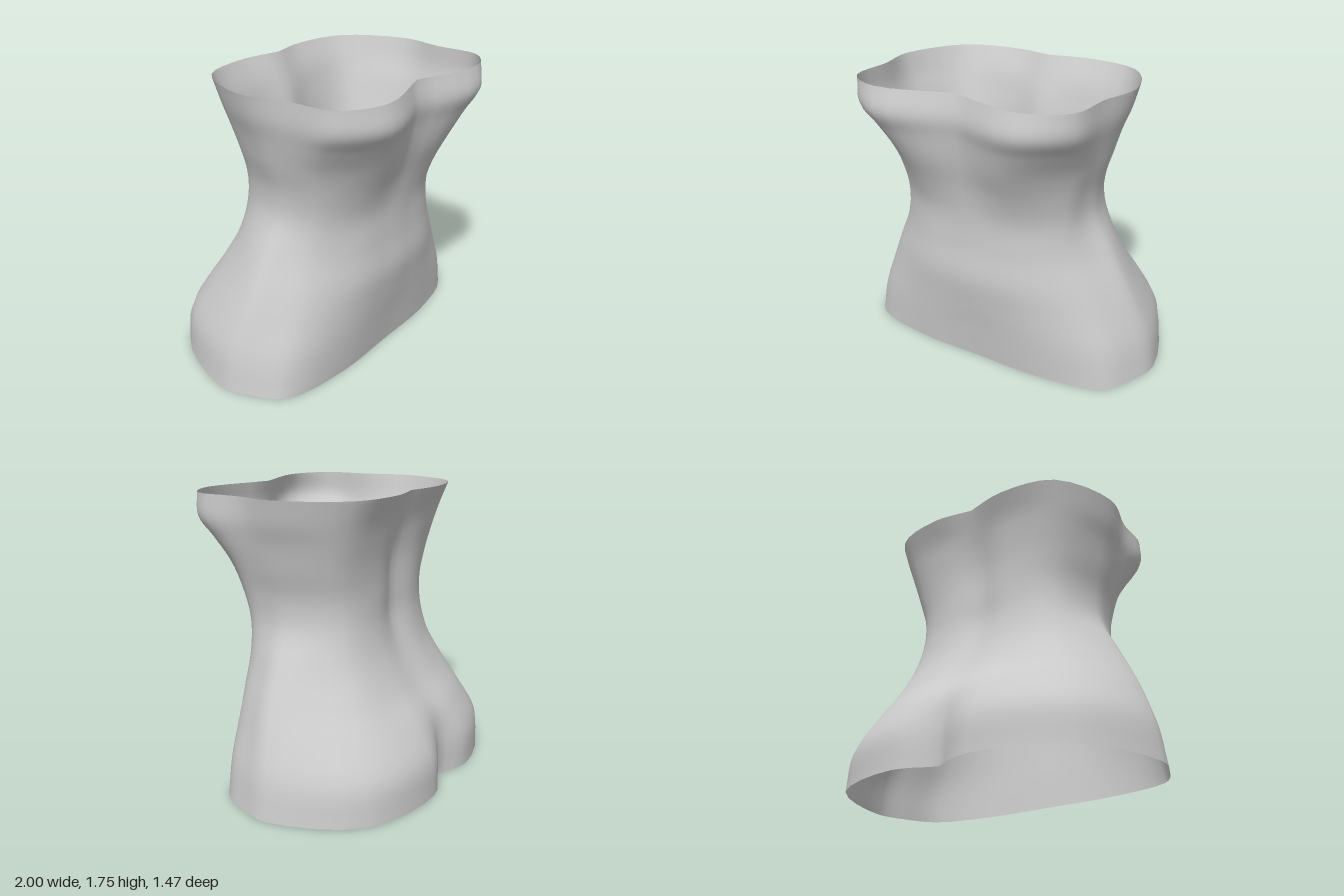
import * as THREE from 'three';

// Half cross-sections from bottom to top:
// y, back centre z, back lobe x z, back corner x z, side x z, front corner x z, front lobe x z, front centre z
const SECTIONS = [
  [0.005, -0.64, 0.25, -0.735, 0.77, -0.565, 1.0, -0.05, 0.84, 0.335, 0.45, 0.43, 0.435],
  [0.23, -0.64, 0.27, -0.72, 0.755, -0.545, 0.967, -0.04, 0.79, 0.34, 0.42, 0.455, 0.47],
  [0.42, -0.605, 0.27, -0.625, 0.69, -0.46, 0.9, 0, 0.71, 0.345, 0.38, 0.475, 0.505],
  [0.6, -0.482, 0.26, -0.487, 0.6, -0.38, 0.82, 0.03, 0.64, 0.345, 0.35, 0.49, 0.53],
  [0.8, -0.372, 0.24, -0.387, 0.53, -0.295, 0.72, 0.04, 0.57, 0.34, 0.33, 0.475, 0.515],
  [1.0, -0.302, 0.23, -0.34, 0.495, -0.25, 0.622, 0.05, 0.55, 0.34, 0.32, 0.475, 0.515],
  [1.17, -0.295, 0.23, -0.335, 0.5, -0.24, 0.617, 0.05, 0.57, 0.36, 0.33, 0.525, 0.535],
  [1.35, -0.3, 0.24, -0.345, 0.535, -0.265, 0.665, 0.03, 0.615, 0.4, 0.35, 0.61, 0.575],
  [1.5, -0.33, 0.25, -0.37, 0.565, -0.3, 0.705, 0.01, 0.665, 0.48, 0.41, 0.675, 0.6],
  [1.62, -0.37, 0.26, -0.4, 0.585, -0.335, 0.75, 0, 0.705, 0.555, 0.45, 0.733, 0.617],
  [1.76, -0.42, 0.27, -0.465, 0.605, -0.38, 0.787, 0, 0.7, 0.57, 0.46, 0.705, 0.59],
];
const HALF = 28; // steps from back centre to front centre
const ROWS = 50; // steps up the body

// Smooth half outline of one section, with a slight pinch below the arm
function halfOutline([y, bc, blx, blz, bx, bz, sx, sz, fx, fz, flx, flz, fc]) {
  const pinch = 0.04 * THREE.MathUtils.smoothstep(y, 1.4, 1.75);
  const points = [
    [0, bc], [blx, blz], [bx, bz], [sx, sz],
    [(sx + fx) / 2 + 0.045 * sx - 0.01 - pinch, (sz + fz) / 2],
    [fx, fz], [flx, flz], [0, fc],
  ].map(([x, z]) => new THREE.Vector3(x, y, z));
  return new THREE.CatmullRomCurve3(points);
}

function torsoGeometry() {
  const outlines = SECTIONS.map(halfOutline);
  // One rising curve per step around the half outline
  const columns = [];
  for (let i = 0; i <= HALF; i++) {
    const rise = new THREE.CatmullRomCurve3(outlines.map((o) => o.getPoint(i / HALF)));
    columns.push(rise.getPoints(ROWS));
  }
  // Full loop: left half from back to front, then its mirror image from front to back
  const loop = HALF * 2;
  const positions = [];
  const indices = [];
  for (let r = 0; r <= ROWS; r++) {
    for (let i = 0; i < loop; i++) {
      const p = columns[i <= HALF ? i : loop - i][r];
      positions.push(i <= HALF ? p.x : -p.x, p.y, p.z);
    }
  }
  for (let r = 0; r < ROWS; r++) {
    for (let i = 0; i < loop; i++) {
      const a = r * loop + i;
      const b = r * loop + ((i + 1) % loop);
      indices.push(a, a + loop, b, b, a + loop, b + loop);
    }
  }
  const geometry = new THREE.BufferGeometry();
  geometry.setAttribute('position', new THREE.Float32BufferAttribute(positions, 3));
  geometry.setIndex(indices);
  geometry.computeVertexNormals();
  return geometry;
}

export function createModel() {
  const grey = new THREE.MeshStandardMaterial({ color: 0xcccccc, side: THREE.DoubleSide });
  grey.name = 'grey';
  // Open shell, without caps at the chest and hips
  const torso = new THREE.Mesh(torsoGeometry(), grey);
  torso.name = 'torsoShell';
  const group = new THREE.Group();
  group.name = 'torso';
  group.add(torso);
  return group;
}
